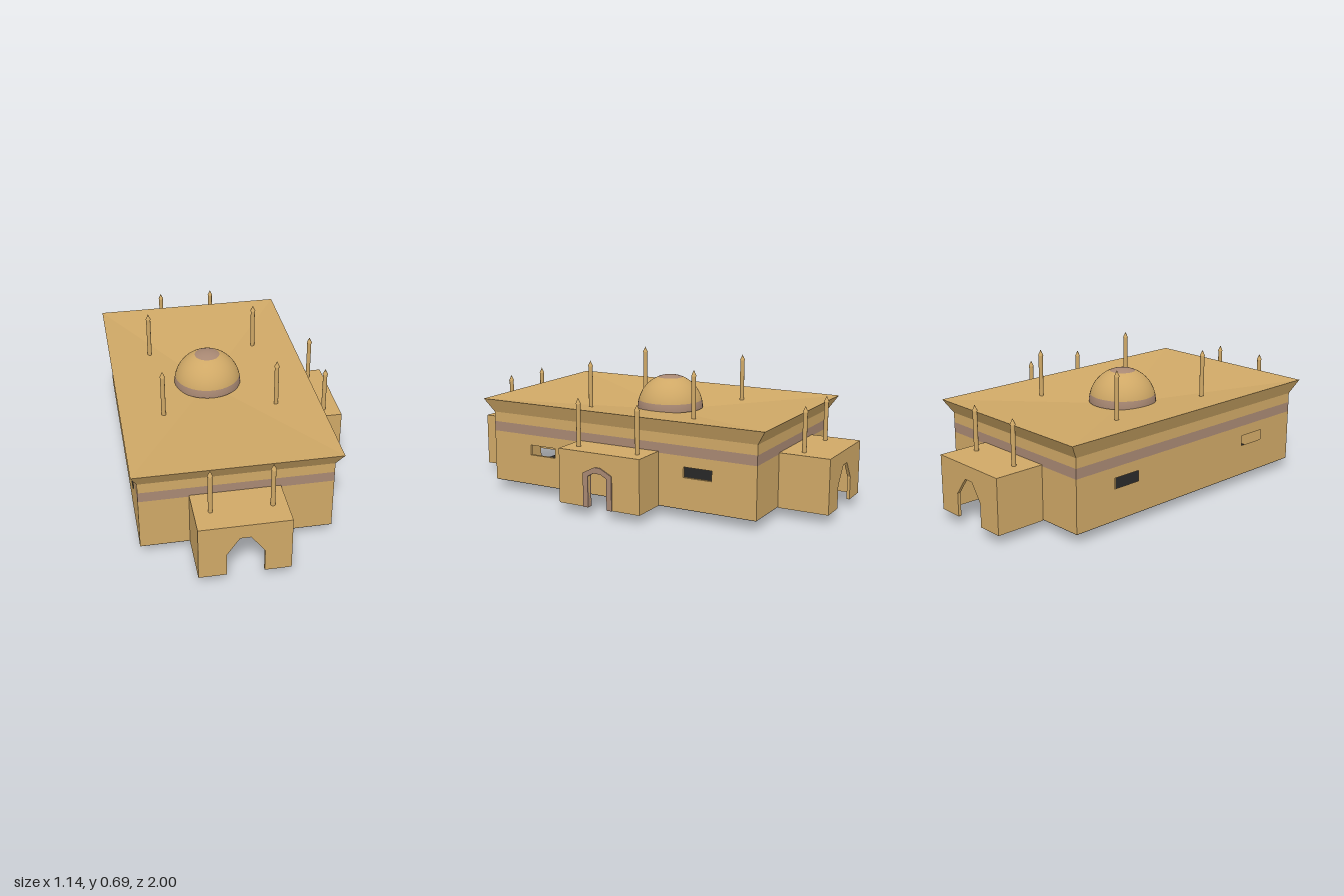
import * as THREE from 'three';

export function createModel() {
  const model = new THREE.Group();
  const sand = new THREE.MeshStandardMaterial({ color: 0xcfa866 });
  const clay = new THREE.MeshStandardMaterial({ color: 0xa88873 });
  const dark = new THREE.MeshStandardMaterial({ color: 0x222222 });
  sand.name = 'sand'; clay.name = 'clay'; dark.name = 'dark floor';
  const T = 0.015; // wall thickness

  const add = (name, geo, mat, x = 0, y = 0, z = 0, parent = model) => {
    const m = new THREE.Mesh(geo, mat);
    m.name = name;
    m.position.set(x, y, z);
    parent.add(m);
    return m;
  };
  const box = (name, x0, x1, y0, y1, z0, z1, mat = sand) =>
    add(name, new THREE.BoxGeometry(x1 - x0, y1 - y0, z1 - z0), mat, (x0 + x1) / 2, (y0 + y1) / 2, (z0 + z1) / 2);

  // Wall outline with an optional door notch in its lower edge and window holes
  const wallShape = (a, b, y0, y1, door = [], windows = []) => {
    const s = new THREE.Shape();
    s.moveTo(a, y0);
    if (door.length) {
      s.lineTo(door[0][0], y0);
      door.forEach(([u, v]) => s.lineTo(u, v));
      s.lineTo(door[door.length - 1][0], y0);
    }
    s.lineTo(b, y0).lineTo(b, y1).lineTo(a, y1);
    s.closePath();
    for (const [u0, u1, v0, v1] of windows) {
      const h = new THREE.Path();
      h.moveTo(u0, v0).lineTo(u0, v1).lineTo(u1, v1).lineTo(u1, v0);
      h.closePath();
      s.holes.push(h);
    }
    return s;
  };
  const solid = (shape, depth = T) => new THREE.ExtrudeGeometry(shape, { depth, bevelEnabled: false });
  // Walls in the x direction, and walls in the z direction whose outer face is at x
  const wallX = (name, shape, z) => add(name, solid(shape), sand, 0, 0, z);
  const wallZ = (name, shape, x, mat = sand, depth = T) => {
    add(name, solid(shape, depth), mat, x).rotation.y = -Math.PI / 2;
  };

  // Four-sided skirt between two rectangles [x0, x1, z0, z1]
  const skirt = (name, y0, r0, y1, r1, mat) => {
    const corners = (r, y) => [[r[0], y, r[3]], [r[1], y, r[3]], [r[1], y, r[2]], [r[0], y, r[2]]];
    const lo = corners(r0, y0), hi = corners(r1, y1), p = [];
    for (let i = 0; i < 4; i++) {
      const j = (i + 1) % 4;
      p.push(...lo[i], ...lo[j], ...hi[j], ...lo[i], ...hi[j], ...hi[i]);
    }
    const g = new THREE.BufferGeometry();
    g.setAttribute('position', new THREE.Float32BufferAttribute(p, 3));
    g.computeVertexNormals();
    add(name, g, mat);
  };

  // Hall walls
  const [X0, X1, Z] = [-0.54, 0.38, 0.745];
  const archDoor = [[-0.175, 0.16], [-0.115, 0.247], [-0.065, 0.247], [0, 0.16]];
  const sideDoor = [[-0.052, 0.2], [-0.02, 0.218], [0.02, 0.218], [0.052, 0.2]];
  const windows = [[0.37, 0.52, 0.205, 0.257], [-0.515, -0.365, 0.205, 0.257]];
  wallX('frontWall', wallShape(X0, X1, 0.05, 0.31, archDoor), Z - T);
  wallX('backWall', wallShape(X0, X1, 0.05, 0.31, archDoor), -Z);
  wallZ('leftWall', wallShape(-Z, Z, 0.05, 0.31, sideDoor, windows), X1);
  add('rightWall', new THREE.ShapeGeometry(wallShape(-Z, Z, 0.05, 0.31, [], windows)), sand, X0)
    .rotation.y = -Math.PI / 2;
  box('floor', X0 + 0.002, X1 - 0.002, 0.047, 0.058, -Z + 0.002, Z - 0.002, dark);

  // Band, frieze, flared cornice and shallow dished roof
  const hall = [X0, X1, -Z, Z], eaves = [-0.57, 0.41, -0.79, 0.79];
  skirt('wallBand', 0.31, hall, 0.36, hall, clay);
  skirt('frieze', 0.36, hall, 0.41, hall, sand);
  skirt('cornice', 0.41, hall, 0.48, eaves, sand);
  skirt('roof', 0.48, eaves, 0.415, [-0.09, -0.09, -0.04, -0.04], sand);

  // Dome in three zones: crown, shell and base band
  const zones = [['domeCrown', 0, 0.38, clay], ['dome', 0.38, 1.33, sand], ['domeBand', 1.33, Math.PI / 2, clay]];
  for (const [name, t0, t1, mat] of zones)
    add(name, new THREE.SphereGeometry(0.17, 40, 14, 0, Math.PI * 2, t0, t1 - t0), mat, -0.09, 0.432, -0.04);

  // Front and back porches, open underneath
  const [P0, P1, PB, PT] = [-0.305, 0.125, 0.045, 0.317];
  for (const s of [1, -1]) {
    const n = s > 0 ? 'front' : 'back';
    const zMin = s > 0 ? Z : -1 + T, zMax = s > 0 ? 1 - T : -Z;
    wallX(n + 'PorchWall', wallShape(P0, P1, PB, PT, archDoor), s > 0 ? 1 - T : -1);
    box(n + 'PorchSideRight', P0, P0 + T, PB, PT, zMin, zMax);
    box(n + 'PorchSideLeft', P1 - T, P1, PB, PT, zMin, zMax);
    box(n + 'PorchRoof', P0 + T, P1 - T, PT - T, PT, zMin, zMax);
  }

  // Side porch with a framed doorway
  const SX = 0.562;
  wallZ('sidePorchWall', wallShape(-0.23, 0.22, PB, PT, sideDoor), SX);
  box('sidePorchFrontSide', X1, SX - T, PB, PT, 0.22 - T, 0.22);
  box('sidePorchBackSide', X1, SX - T, PB, PT, -0.23, -0.23 + T);
  box('sidePorchRoof', X1, SX - T, PT - T, PT, -0.23 + T, 0.22 - T);
  const frame = new THREE.Shape();
  frame.moveTo(-0.08, PB).lineTo(-0.052, PB);
  sideDoor.forEach(([u, v]) => frame.lineTo(u, v));
  frame.lineTo(0.052, PB).lineTo(0.08, PB).lineTo(0.08, 0.215).lineTo(0.015, 0.248)
    .lineTo(-0.015, 0.248).lineTo(-0.08, 0.215);
  frame.closePath();
  wallZ('doorFrame', frame, SX + 0.006, clay, 0.03);

  // Inner pillars that pass through the floor
  for (const [x, z, y] of [[0.037, 0.22, 0], [0.037, -0.432, 0.018], [-0.42, 0.22, 0.02], [-0.42, -0.432, 0.02]])
    add('pillar', new THREE.CylinderGeometry(0.028, 0.028, 0.4 - y, 16), sand, x, (0.4 + y) / 2, z);

  // Slim turrets with pointed caps
  const turret = (x, z, y0, y1) => {
    const g = new THREE.Group();
    g.name = 'turret';
    const cap = 0.03, h = y1 - cap - y0;
    add('turretShaft', new THREE.CylinderGeometry(0.011, 0.011, h, 12), sand, 0, y0 + h / 2, 0, g);
    add('turretCap', new THREE.ConeGeometry(0.0135, cap, 12), sand, 0, y1 - cap / 2, 0, g);
    g.position.set(x, 0, z);
    model.add(g);
  };
  for (const x of [-0.355, 0.205]) for (const z of [-0.328, 0.262]) turret(x, z, 0.43, 0.692);
  for (const x of [-0.228, 0.058]) for (const z of [-0.845, 0.876]) turret(x, z, 0.31, 0.542);
  for (const z of [-0.172, 0.157]) turret(0.481, z, 0.31, 0.557);

  return model;
}
